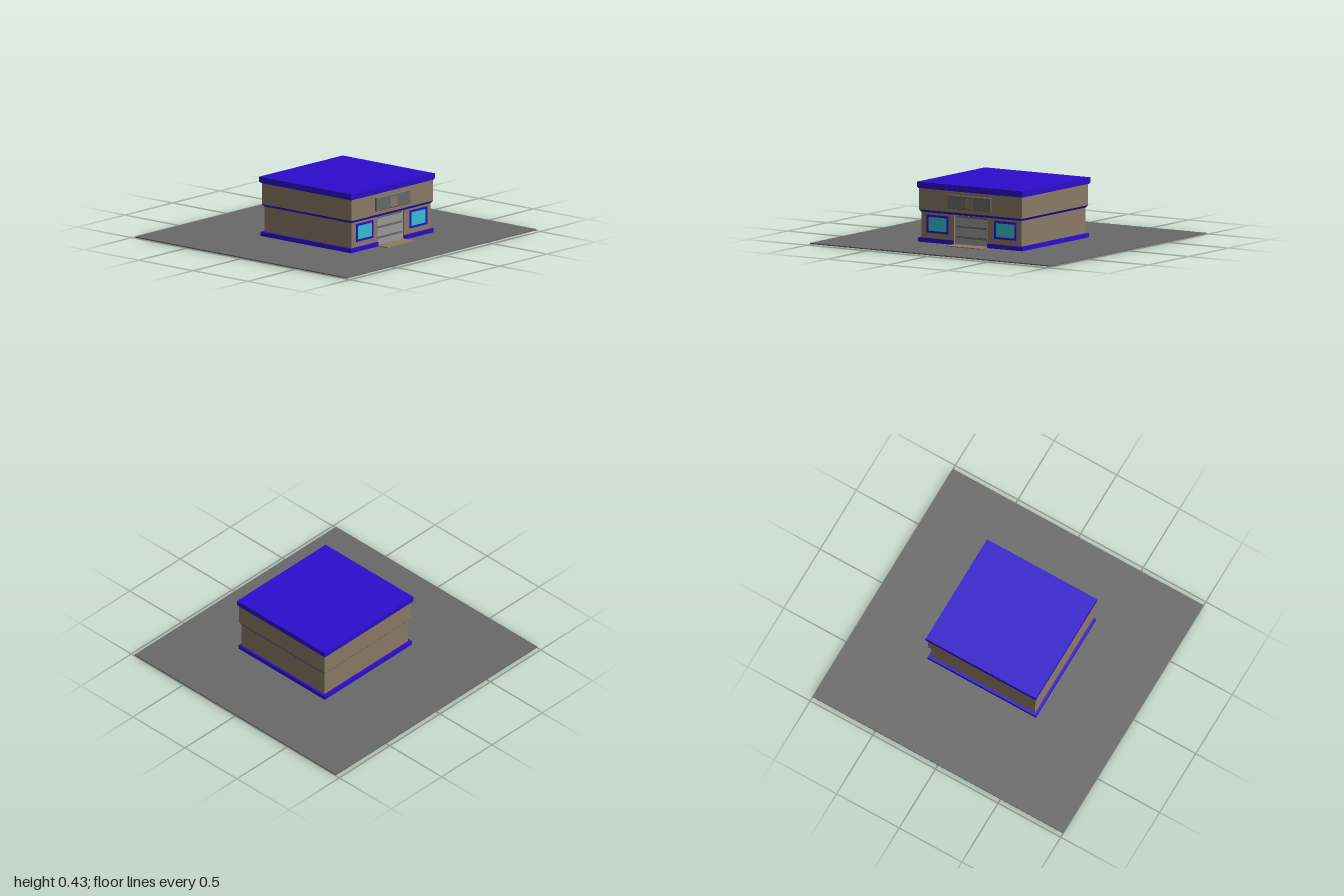
import * as THREE from 'three';

const mat = (name, color) => {
  const m = new THREE.MeshStandardMaterial({ color });
  m.name = name;
  return m;
};

export function createModel() {
  const model = new THREE.Group();
  model.name = 'shop';
  const blue = mat('blue trim', 0x2c0ccd);
  const tan = mat('tan wall', 0x8b7b65);
  const grey = mat('asphalt grey', 0x696969);
  const silver = mat('shutter grey', 0x9a9a9a);
  const cyan = mat('glass cyan', 0x36c2ce);

  // Box given by its limits on each axis
  const block = (name, material, [x0, x1], [y0, y1], [z0, z1], parent = model) => {
    const g = new THREE.BoxGeometry(x1 - x0, y1 - y0, z1 - z0);
    g.translate((x0 + x1) / 2, (y0 + y1) / 2, (z0 + z1) / 2);
    const mesh = new THREE.Mesh(g, material);
    mesh.name = name;
    parent.add(mesh);
    return mesh;
  };

  const doorZ = [-0.16, 0.123];
  const sides = [['right', -0.436, doorZ[0]], ['left', doorZ[1], 0.396]];

  // Ground slab and doorstep
  block('ground', grey, [-0.968, 0.968], [0.004, 0.012], [-1, 1]);
  block('doorstep', tan, [0.44, 0.585], [0.006, 0.017], doorZ);

  // Lower storey, with a shallow recess for the door
  block('lowerWall', tan, [-0.31, 0.465], [0.001, 0.225], [-0.436, 0.396]);
  block('floorPlate', grey, [-0.3, 0.37], [0, 0.003], doorZ);
  for (const [side, z0, z1] of sides)
    block(side + 'FrontWall', tan, [0.465, 0.486], [0.001, 0.225], [z0, z1]);

  // Plinth around the foot, open at the door
  const plinth = new THREE.Group();
  plinth.name = 'plinth';
  model.add(plinth);
  const py = [0.0015, 0.042];
  block('plinthBack', blue, [-0.33, -0.31], py, [-0.452, 0.414], plinth);
  block('plinthRight', blue, [-0.31, 0.498], py, [-0.452, -0.436], plinth);
  block('plinthLeft', blue, [-0.31, 0.498], py, [0.396, 0.414], plinth);
  for (const [side, z0, z1] of sides)
    block(side + 'PlinthFront', blue, [0.486, 0.498], py, [z0, z1], plinth);

  // Band flaring out from the lower to the upper storey
  const band = block('band', blue, [-0.325, 0.497], [0.221, 0.238], [-0.449, 0.407]);
  const p = band.geometry.attributes.position;
  for (let i = 0; i < p.count; i++) {
    if (p.getY(i) > 0.23) continue;
    p.setX(i, p.getX(i) < 0 ? -0.311 : 0.487);
    p.setZ(i, p.getZ(i) < 0 ? -0.437 : 0.397);
  }
  band.geometry.computeVertexNormals();

  // Upper storey and flat roof
  block('upperWall', tan, [-0.325, 0.497], [0.238, 0.395], [-0.449, 0.407]);
  block('roofLip', blue, [-0.332, 0.501], [0.387, 0.394], [-0.455, 0.413]);
  block('roof', blue, [-0.34, 0.505], [0.394, 0.431], [-0.46, 0.419]);

  // Door shutter with dark slots
  block('door', silver, [0.464, 0.474], [0.012, 0.222], doorZ);
  for (const y of [0.067, 0.14, 0.211])
    block('doorSlot', grey, [0.474, 0.478], [y - 0.007, y + 0.007], [-0.145, 0.108]);

  // Framed windows beside the door
  for (const [z0, z1] of [[0.168, 0.347], [-0.396, -0.214]]) {
    const w = new THREE.Group();
    w.name = 'window';
    model.add(w);
    const x = [0.484, 0.492];
    block('frameBottom', blue, x, [0.08, 0.094], [z0, z1], w);
    block('frameTop', blue, x, [0.191, 0.206], [z0, z1], w);
    block('frameNear', blue, x, [0.094, 0.191], [z1 - 0.015, z1], w);
    block('frameFar', blue, x, [0.094, 0.191], [z0, z0 + 0.015], w);
    block('glass', cyan, [0.482, 0.489], [0.094, 0.191], [z0 + 0.015, z1 - 0.015], w);
  }

  // Sign board with bevelled edges and a plain tan plaque
  const board = new THREE.Shape();
  board.moveTo(-0.176, -0.045).lineTo(0.176, -0.045).lineTo(0.176, 0.045).lineTo(-0.176, 0.045);
  const boardGeo = new THREE.ExtrudeGeometry(board, {
    depth: 0.009, bevelThickness: 0.005, bevelSize: 0.004, bevelSegments: 1,
  });
  boardGeo.rotateY(Math.PI / 2);
  const sign = new THREE.Mesh(boardGeo, grey);
  sign.name = 'signBoard';
  sign.position.set(0.5, 0.314, -0.019);
  model.add(sign);
  block('signPlaque', tan, [0.513, 0.517], [0.275, 0.343], [-0.054, 0.012]);

  return model;
}
